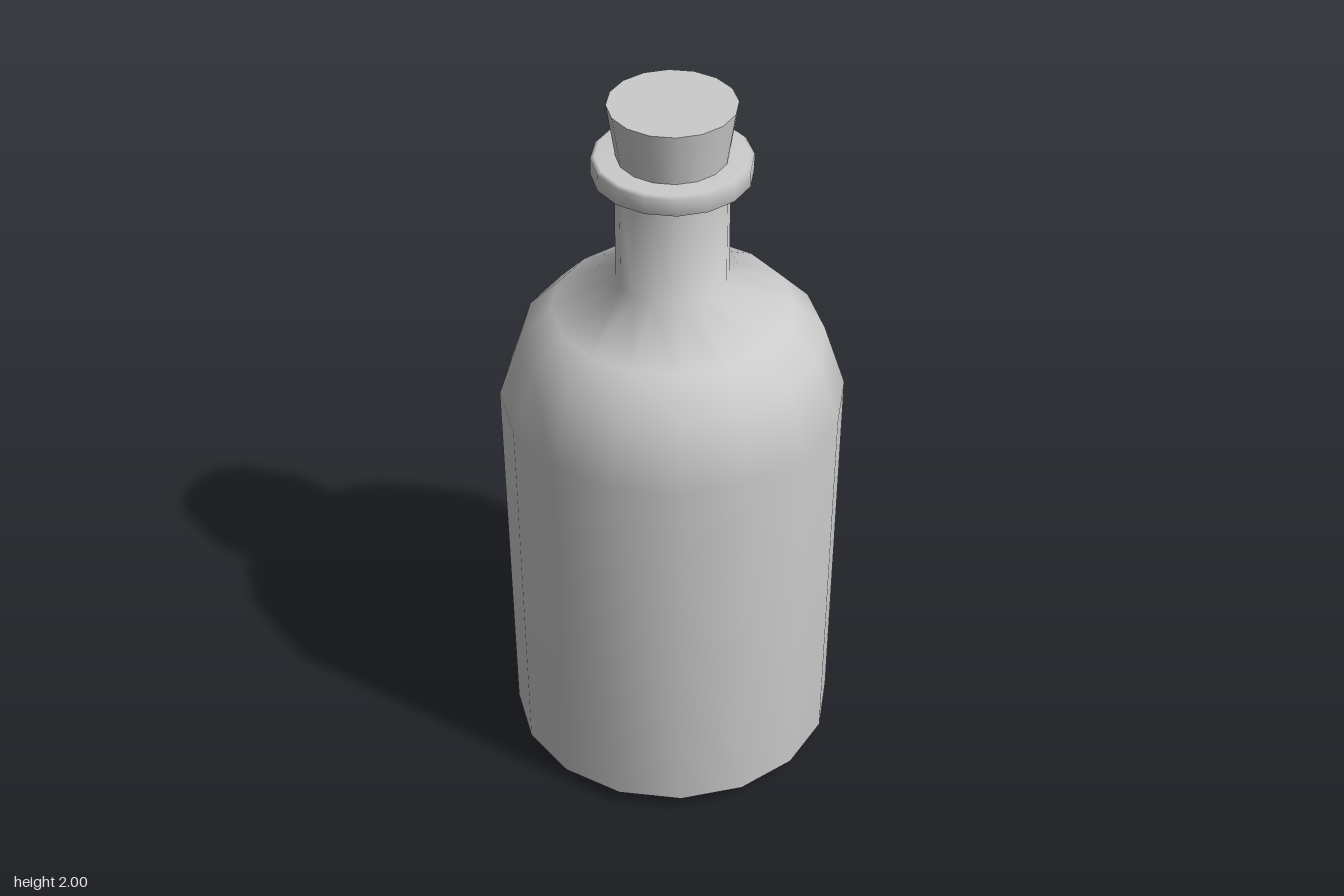
import * as THREE from 'three';

const SIDES = 16;

// Smooth turned part from a list of [radius, height] points, bottom to top
function turned(name, profile, material) {
  const points = profile.map(([r, y]) => new THREE.Vector2(r, y));
  const mesh = new THREE.Mesh(new THREE.LatheGeometry(points, SIDES), material);
  mesh.name = name;
  return mesh;
}

export function createModel() {
  const group = new THREE.Group();
  group.name = 'corkedBottle';
  const material = new THREE.MeshStandardMaterial({ color: 0xcccccc });

  // Body: chamfered base, slightly flared wall, rounded shoulder and straight neck
  group.add(turned('bottleBody', [
    [0, 0], [0.4, 0.003], [0.445, 0.04], [0.458, 1.13],
    [0.4, 1.31], [0.315, 1.4], [0.147, 1.495], [0.147, 1.81],
  ], material));

  // Lip: flat collar around the mouth of the neck
  group.add(turned('lip', [
    [0.135, 1.795], [0.19, 1.795], [0.206, 1.802],
    [0.206, 1.848], [0.195, 1.854], [0.135, 1.854],
  ], material));

  // Cork: tapered stopper pushed into the neck
  const cork = new THREE.Mesh(new THREE.CylinderGeometry(0.165, 0.135, 0.2, SIDES), material);
  cork.name = 'cork';
  cork.position.y = 1.9;
  group.add(cork);

  return group;
}
